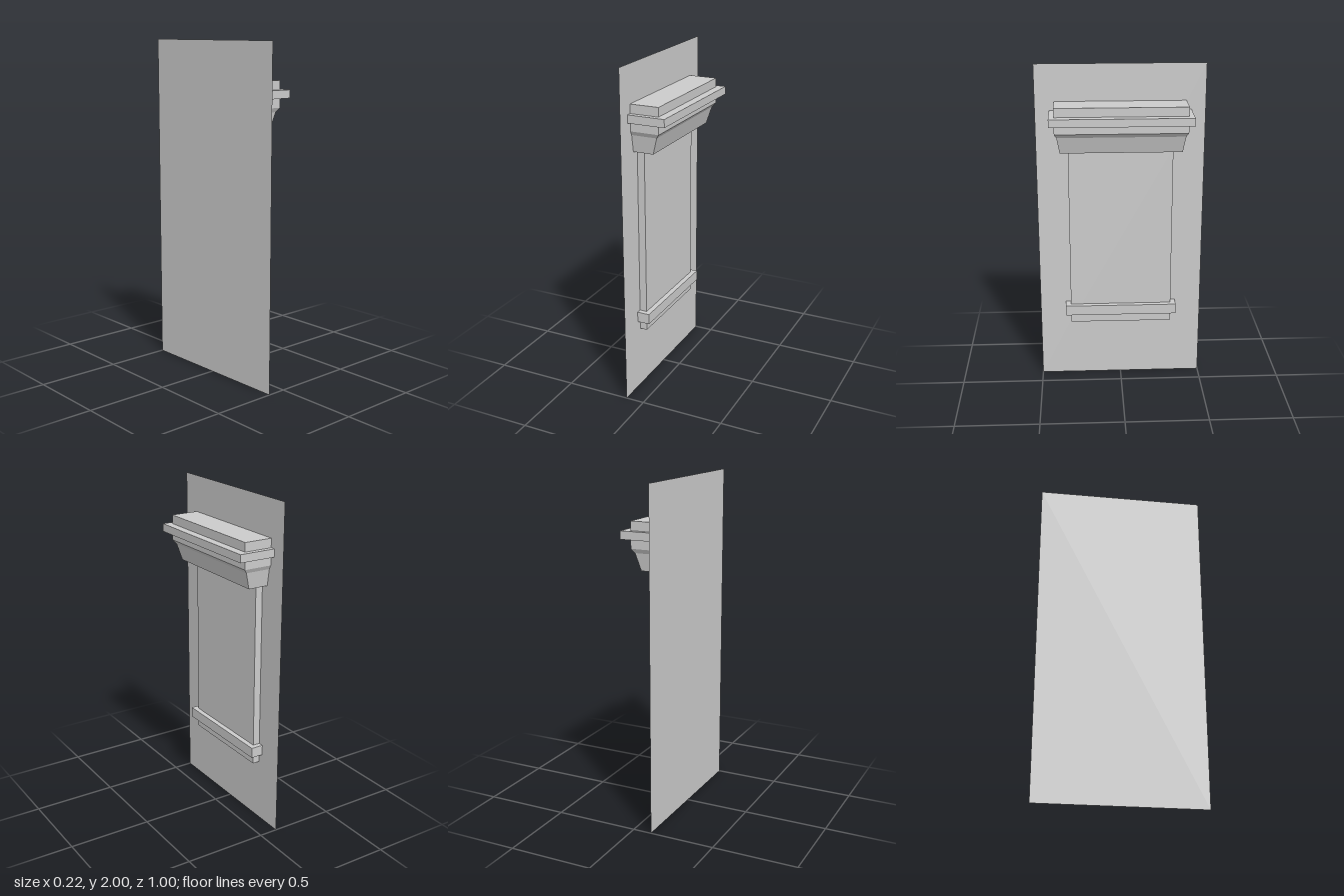
import * as THREE from 'three';

const WALL_X = -0.112;
const material = new THREE.MeshStandardMaterial({ color: 0xcccccc, flatShading: true });
const sheetMaterial = new THREE.MeshStandardMaterial({ color: 0xcccccc, side: THREE.DoubleSide });

// Box standing out from the wall to frontX, symmetric in z
function wallBlock(name, y0, y1, frontX, halfZ) {
  const depth = frontX - WALL_X;
  const mesh = new THREE.Mesh(new THREE.BoxGeometry(depth, y1 - y0, halfZ * 2), material);
  mesh.position.set(WALL_X + depth / 2, (y0 + y1) / 2, 0);
  mesh.name = name;
  return mesh;
}

// Flared block: levels of [y, frontX, halfZ] joined by flat sides
function flaredBlock(name, levels) {
  const positions = [];
  const ring = ([y, x, z]) => [[WALL_X, y, z], [x, y, z], [x, y, -z], [WALL_X, y, -z]];
  const quad = (a, b, c, d) => positions.push(...a, ...b, ...c, ...a, ...c, ...d);
  const rings = levels.map(ring);
  for (let i = 0; i < rings.length - 1; i++) {
    const lo = rings[i], hi = rings[i + 1];
    for (let k = 0; k < 4; k++) {
      const n = (k + 1) % 4;
      quad(lo[k], lo[n], hi[n], hi[k]);
    }
  }
  const first = rings[0], last = rings[rings.length - 1];
  quad(first[3], first[2], first[1], first[0]);
  quad(last[0], last[1], last[2], last[3]);
  const geometry = new THREE.BufferGeometry();
  geometry.setAttribute('position', new THREE.Float32BufferAttribute(positions, 3));
  geometry.computeVertexNormals();
  const mesh = new THREE.Mesh(geometry, material);
  mesh.name = name;
  return mesh;
}

export function createModel() {
  const model = new THREE.Group();
  model.name = 'wallPilaster';

  // Thin wall sheet facing +x
  const wall = new THREE.Mesh(new THREE.PlaneGeometry(1, 2), sheetMaterial);
  wall.rotation.y = Math.PI / 2;
  wall.position.set(WALL_X, 1, 0);
  wall.name = 'wall';
  model.add(wall);

  // Flat shaft with its base moulding
  model.add(wallBlock('shaft', 0.38, 1.505, -0.068, 0.311));
  model.add(wallBlock('baseMoulding', 0.44, 0.503, -0.037, 0.342));

  // Capital flaring out to a vertical neck, then the cornice
  model.add(flaredBlock('capital', [
    [1.503, 0.011, 0.357],
    [1.603, 0.041, 0.373],
    [1.627, 0.06, 0.386],
    [1.68, 0.06, 0.386],
  ]));
  model.add(wallBlock('corniceLedge', 1.68, 1.727, 0.109, 0.416));
  model.add(wallBlock('corniceTop', 1.727, 1.78, 0.06, 0.386));

  return model;
}
